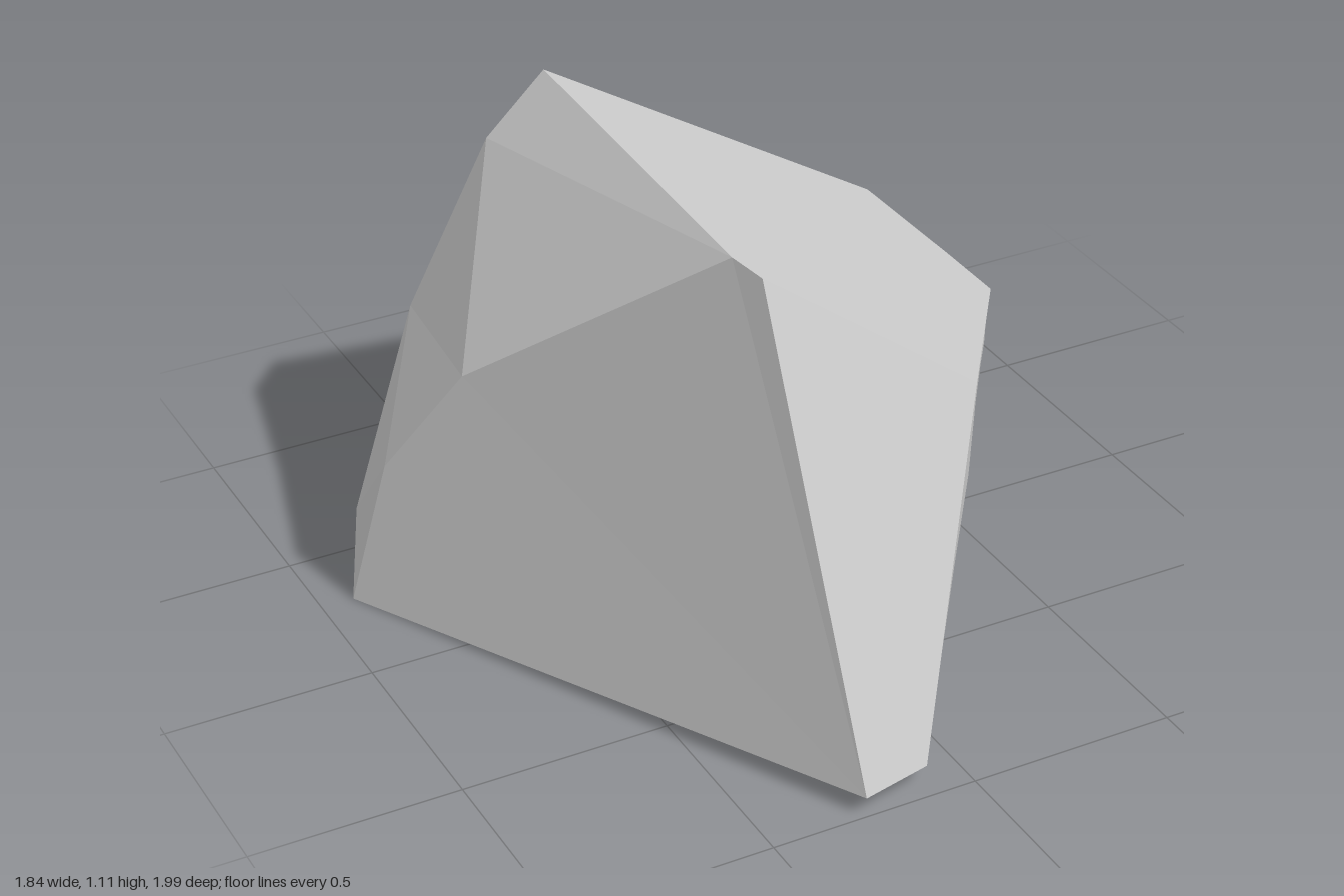
import * as THREE from 'three';

const v = (x, y, z) => new THREE.Vector3(x, y, z);
const material = new THREE.MeshStandardMaterial({ color: 0xcccccc, flatShading: true });
const smoothMaterial = new THREE.MeshStandardMaterial({ color: 0xcccccc });
const centre = v(0, 0.45, -0.15);

// Flat facet: a fan from the first corner, turned to face outwards
function facet(name, corners) {
  const pts = [];
  for (let i = 1; i < corners.length - 1; i++) {
    const [a, b, c] = [corners[0], corners[i], corners[i + 1]];
    const n = b.clone().sub(a).cross(c.clone().sub(a));
    const outward = n.dot(a.clone().sub(centre)) > 0;
    pts.push(a, ...(outward ? [b, c] : [c, b]));
  }
  const g = new THREE.BufferGeometry().setFromPoints(pts);
  g.computeVertexNormals();
  const mesh = new THREE.Mesh(g, material);
  mesh.name = name;
  return mesh;
}

// Smooth surface joining sections of equal length
function loft(name, sections) {
  const n = sections[0].length;
  const index = [];
  for (let s = 0; s < sections.length - 1; s++) {
    for (let i = 0; i < n - 1; i++) {
      const a = s * n + i, b = a + 1, c = a + n, d = c + 1;
      index.push(a, b, c, b, d, c);
    }
  }
  const g = new THREE.BufferGeometry().setFromPoints(sections.flat());
  g.setIndex(index);
  g.computeVertexNormals();
  const mesh = new THREE.Mesh(g, smoothMaterial);
  mesh.name = name;
  return mesh;
}

export function createModel() {
  const group = new THREE.Group();
  group.name = 'rock';

  // Ridge and front corners
  const ridgeFront = v(-0.27, 1.09, 0.52), ridgeTop = v(-0.3, 1.11, 0.44);
  const ridgeBack = v(-0.25, 1.095, -0.6), shoulder = v(0.22, 0.74, 0.6);
  const tip = v(-0.27, 0.045, 0.995), tipSide = v(-0.1, 0.05, 0.96);

  // Stepped edges on the low side
  const stepsFront = [ridgeTop, v(-0.69, 0.63, -0.13), v(-0.83, 0.35, -0.28), v(-0.92, 0, -0.3)];
  const stepsBack = [ridgeBack, v(-0.4, 0.95, -0.605), v(-0.615, 0.56, -0.6), v(-0.76, 0, -0.66)];

  // Curved lower edges of the front side facet and the back facet
  const frontEdge = [
    v(0.915, 0.27, -0.46), v(0.875, 0.237, -0.41), v(0.865, 0.195, -0.4), v(0.86, 0.16, -0.395),
    v(0.83, 0.125, -0.36), v(0.75, 0.092, -0.25), v(0.58, 0.065, 0), v(0.37, 0.047, 0.29),
    v(0.15, 0.041, 0.6), tipSide,
  ];
  const backEdge = [
    [0.86, 0.32], [0.79, 0.25], [0.75, 0.2], [0.735, 0.17], [0.7, 0.135],
    [0.6, 0.095], [0.4, 0.052], [0.1, 0.025], [-0.2, 0.012],
  ].map(([x, y]) => v(x, y, -0.66 - 0.242 * (x + 0.76) + 0.168 * y));
  backEdge.push(stepsBack[3]);

  // Rounded underside
  const front = [...frontEdge, tip], back = [...backEdge, stepsFront[3]];
  const middle = front.map((p, i) => p.clone().lerp(back[i], 0.37));
  middle[0] = v(0.905, 0.28, -0.66);
  group.add(loft('underside', [front, middle, back]));

  // Large flat facets
  group.add(
    facet('topFacet', [ridgeFront, shoulder, frontEdge[0], middle[0], backEdge[0], ridgeBack, ridgeTop]),
    facet('frontFacet', [ridgeFront, shoulder, tipSide, tip]),
    facet('frontSideFacet', [shoulder, ...frontEdge]),
    facet('backFacet', [ridgeBack, ...backEdge, stepsBack[2], stepsBack[1]]),
    facet('lowSideFacet', [tip, ridgeFront, ...stepsFront]),
  );

  // Stepped facets on the low side
  for (let i = 0; i < 3; i++) {
    group.add(facet(`steppedFacet${i + 1}`, [stepsFront[i], stepsFront[i + 1], stepsBack[i + 1], stepsBack[i]]));
  }
  return group;
}
